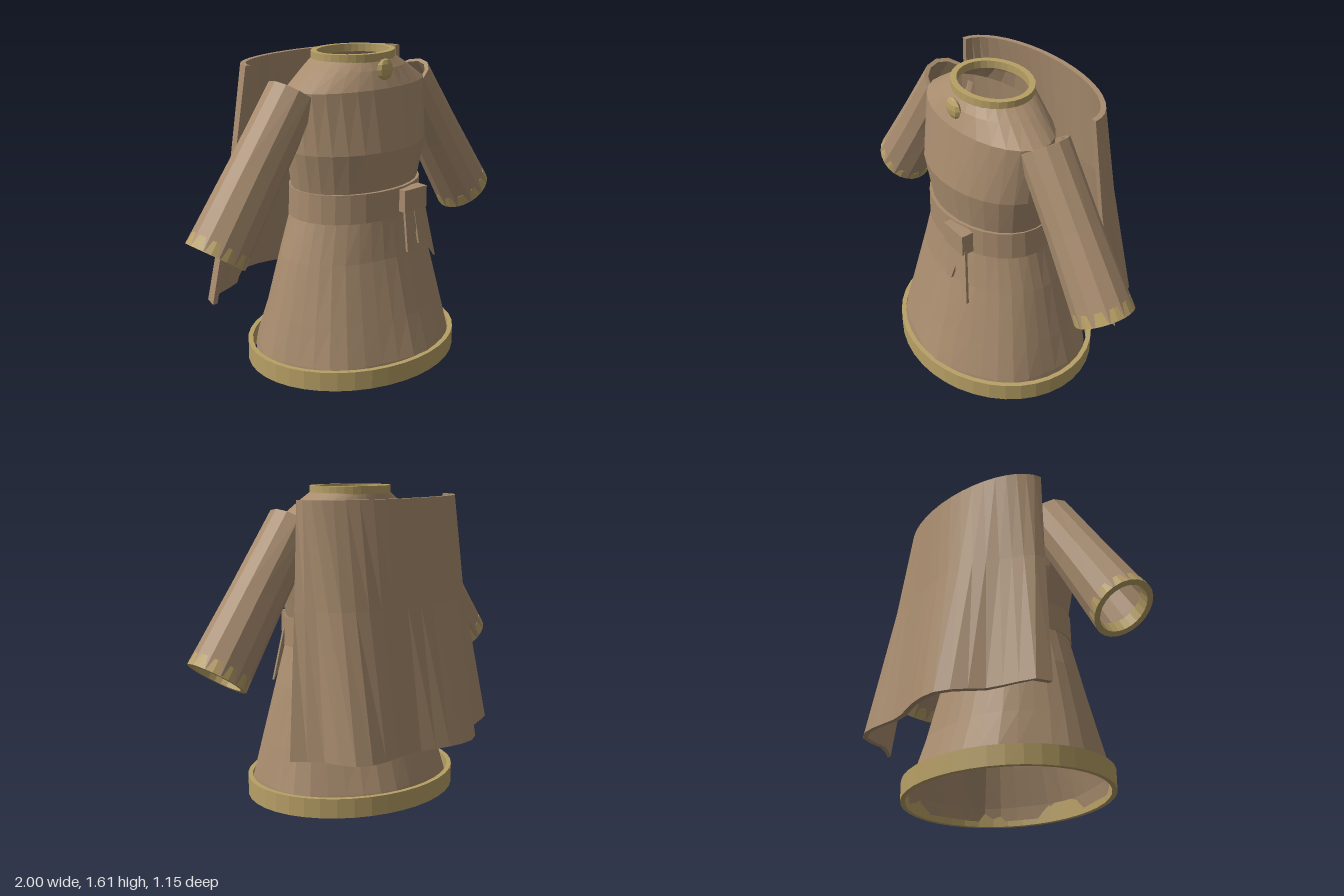
import * as THREE from 'three';

const flat = (name, color) => {
  const m = new THREE.MeshStandardMaterial({ color, flatShading: true, side: THREE.DoubleSide });
  m.name = name;
  return m;
};

// skin joining a list of closed rings of equal point count
function loft(rings) {
  const n = rings[0].length, pos = [], index = [];
  rings.forEach(r => r.forEach(p => pos.push(...p)));
  for (let i = 0; i < rings.length - 1; i++) {
    for (let j = 0; j < n; j++) {
      const a = i * n + j, b = i * n + (j + 1) % n;
      index.push(a, b, b + n, a, b + n, a + n);
    }
  }
  const g = new THREE.BufferGeometry();
  g.setAttribute('position', new THREE.Float32BufferAttribute(pos, 3));
  g.setIndex(index);
  g.computeVertexNormals();
  return g;
}

// horizontal oval: height, half width, front z, back z, optional fold depth
function oval([y, rx, front, back, fold = 0], n = 28) {
  const cz = (front + back) / 2, rz = (front - back) / 2;
  return Array.from({ length: n }, (_, j) => {
    const a = j / n * Math.PI * 2;
    const k = 1 + fold * (Math.sin(7 * a + 0.6) + 0.5 * Math.sin(4 * a) - 0.4);
    return [Math.sin(a) * rx * k, y, cz + Math.cos(a) * rz * k];
  });
}
const shell = (sections, n) => loft(sections.map(s => oval(s, n)));

// hollow band: walls given by an outer profile, thickness t
function band(sections, t, n) {
  const inner = sections.map(([y, rx, f, b]) => [y, rx - t, f - t, b + t]).reverse();
  return shell([...sections, ...inner, sections[0]], n);
}

export function createModel() {
  const model = new THREE.Group();
  model.name = 'robe';
  const cloth = flat('brown cloth', 0xa88c6e);
  const gold = flat('gold trim', 0xb8a066);
  const add = (name, geometry, material, parent = model) => {
    const mesh = new THREE.Mesh(geometry, material);
    mesh.name = name;
    parent.add(mesh);
    return mesh;
  };

  // body
  add('torso', shell([
    [0.86, 0.36, 0.355, -0.17], [0.95, 0.365, 0.36, -0.175], [1.15, 0.405, 0.385, -0.175],
    [1.45, 0.418, 0.33, -0.135], [1.535, 0.295, 0.29, -0.12], [1.585, 0.215, 0.255, -0.108],
  ]), cloth);
  add('skirt', shell([
    [0.03, 0.565, 0.555, -0.405, 0.022], [0.1, 0.553, 0.543, -0.385, 0.02],
    [0.3, 0.505, 0.485, -0.315, 0.014], [0.6, 0.432, 0.405, -0.235, 0.008],
    [0.8, 0.372, 0.37, -0.19], [0.9, 0.36, 0.355, -0.175],
  ], 36), cloth);
  add('belt', band([[0.8, 0.376, 0.38, -0.2], [0.95, 0.372, 0.378, -0.195]], 0.025), cloth);

  // gold bands
  add('hemTrim', band([[0, 0.59, 0.572, -0.43], [0.1, 0.59, 0.572, -0.43]], 0.025, 40), gold);
  add('collar', band([[1.572, 0.226, 0.265, -0.115], [1.612, 0.226, 0.265, -0.115]], 0.03, 32), gold);

  // brooch at the throat
  const brooch = add('brooch', new THREE.SphereGeometry(0.054, 8, 6), gold);
  brooch.scale.z = 0.42;
  brooch.position.set(0, 1.538, 0.305);

  // belt knot and hanging ends
  const knot = add('beltKnot', new THREE.BoxGeometry(0.155, 0.115, 0.065), cloth);
  knot.position.set(0.12, 0.882, 0.383);
  const tails = [
    [[0.06, 0.84], [0.13, 0.84], [0.135, 0.74], [0.1, 0.62], [0.06, 0.615]],
    [[0.12, 0.84], [0.2, 0.84], [0.25, 0.555], [0.185, 0.655], [0.14, 0.645], [0.13, 0.74]],
  ];
  tails.forEach((points, i) => {
    const shape = new THREE.Shape(points.map(p => new THREE.Vector2(...p)));
    const g = new THREE.ExtrudeGeometry(shape, { depth: 0.014, bevelEnabled: false });
    const p = g.attributes.position;
    for (let v = 0; v < p.count; v++) {
      p.setZ(v, p.getZ(v) + 0.385 + i * 0.004 + (0.84 - p.getY(v)) * 0.12);
    }
    g.computeVertexNormals();
    add('beltEnd', g, cloth);
  });

  // sleeves, open at both ends, with gold cuffs
  for (const side of [1, -1]) {
    const arm = new THREE.Group();
    arm.name = side > 0 ? 'leftSleeve' : 'rightSleeve';
    arm.position.set(side * 0.865, 0.72, 0.07);
    arm.rotation.z = side * 0.592;
    add('sleeve', band([
      [0.005, 0.161, 0.148, -0.148], [0.1, 0.157, 0.143, -0.143], [0.45, 0.143, 0.131, -0.131],
      [0.864, 0.13, 0.13, -0.13],
    ], 0.022, 12), cloth, arm);
    add('cuff', band([[0, 0.161, 0.147, -0.147], [0.065, 0.156, 0.142, -0.142]], 0.03, 24), gold, arm);
    model.add(arm);
  }

  // cape: half oval at the shoulders widening to a wavy hem
  const hem = new THREE.CatmullRomCurve3([
    [-0.69, -0.23], [-0.67, -0.305], [-0.57, -0.355], [-0.44, -0.41], [-0.36, -0.5], [-0.27, -0.565],
    [-0.15, -0.578], [0, -0.548], [0.12, -0.517], [0.37, -0.533], [0.47, -0.5], [0.52, -0.42],
    [0.55, -0.33], [0.66, -0.22],
  ].map(([x, z]) => new THREE.Vector3(x, 0, z)));
  const rows = [[0.33, 1], [1.04, 0.36], [1.56, 0]];
  const columns = 20, rings = [];
  for (let c = 0; c <= columns; c++) {
    const u = c / columns, a = Math.PI * u, low = hem.getPointAt(u);
    const top = new THREE.Vector3(-0.52 * Math.cos(a), 0, -0.12 - 0.255 * Math.sin(a));
    const outer = rows.map(([y, t]) => top.clone().lerp(low, t).setY(y).toArray());
    const inner = outer.map(([x, y, z]) =>
      [x + Math.cos(a) * 0.028, y, z + Math.sin(a) * 0.028]).reverse();
    const edge = [...outer, ...outer.slice().reverse()];
    if (c === 0) rings.push(edge);
    rings.push([...outer, ...inner]);
    if (c === columns) rings.push(edge);
  }
  add('cape', loft(rings), cloth);

  return model;
}
